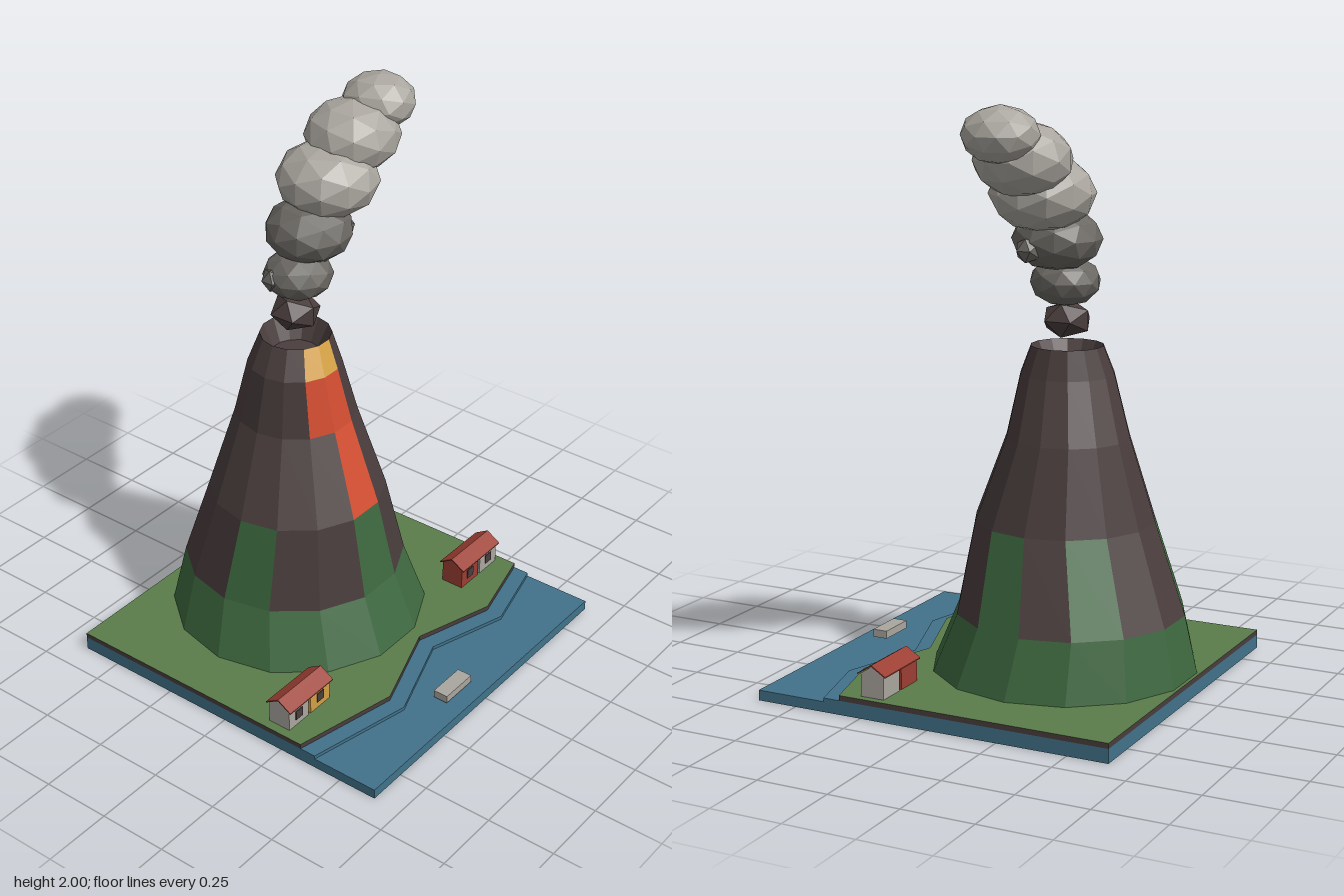
import * as THREE from 'three';

const mat = (name, color) => {
  const m = new THREE.MeshStandardMaterial({ color, flatShading: true });
  m.name = name;
  return m;
};

export function createModel() {
  const group = new THREE.Group();
  group.name = 'volcanoIsland';
  const land = mat('grass', 0x5a7d4a), forest = mat('forest', 0x3d683f), rock = mat('rock', 0x4a3d3d);
  const lava = mat('lava', 0xd24d31), glow = mat('glow', 0xd3a044), water = mat('water', 0x41728a);
  const pale = mat('paleGrey', 0xaaa69f), ash = mat('ashGrey', 0x6a6762), red = mat('tileRed', 0x9c3f33);
  water.side = THREE.DoubleSide;
  red.side = THREE.DoubleSide;

  const add = (name, geo, material, x = 0, y = 0, z = 0, parent = group) => {
    const mesh = new THREE.Mesh(geo, material);
    mesh.name = name;
    mesh.position.set(x, y, z);
    parent.add(mesh);
    return mesh;
  };

  // Sea: a shallow tray, open underneath
  const H = 0.645;
  const tray = new THREE.BoxGeometry(2 * H, 0.036, 2 * H);
  const idx = Array.from(tray.index.array);
  tray.setIndex([...idx.slice(0, 18), ...idx.slice(24)]);
  tray.clearGroups();
  add('sea', tray, water, 0, 0.018, 0);

  // Slabs with a zigzag shoreline
  const slab = (name, shift, y, height, materials) => {
    const shore = [[-H, 0.335], [-0.26, 0.422], [0.07, 0.308], [0.365, 0.4], [H, 0.33]];
    const pts = shore.map(([x, z]) => new THREE.Vector2(x, -z - shift));
    pts.push(new THREE.Vector2(H, H), new THREE.Vector2(-H, H));
    const geo = new THREE.ExtrudeGeometry(new THREE.Shape(pts), { depth: height, bevelEnabled: false });
    geo.rotateX(-Math.PI / 2);
    add(name, geo, materials, 0, y, 0);
  };
  slab('shallows', 0.06, 0.036, 0.013, water);
  slab('shore', 0, 0.049, 0.018, [land, rock]);

  // Mountain: rings of [height, radius, centre x, centre z], ending inside the crater
  const N = 14;
  const rings = [
    [0.065, 0.46, 0, -0.185], [0.27, 0.395, 0.008, -0.21], [0.58, 0.312, -0.012, -0.178],
    [0.87, 0.213, 0.01, -0.198], [1.08, 0.162, -0.01, -0.185], [1.18, 0.124, 0.003, -0.19],
    [1.1, 0.085, 0, -0.19], [1.1, 0.001, 0, -0.19],
  ];
  const point = (r, i) => {
    const [y, rad, cx, cz] = rings[r], a = (i % N) / N * Math.PI * 2;
    return [cx + rad * Math.cos(a), y, cz + rad * Math.sin(a)];
  };
  const colourOf = (band, i) => {
    if (band === 0 || (band === 1 && i % 3 === 0)) return forest;
    if ((band === 2 && i === 3) || (band === 3 && (i === 3 || i === 4))) return lava;
    if (band === 4 && (i === 3 || i === 4)) return glow;
    return rock;
  };
  const faces = new Map();
  for (let r = 0; r < rings.length - 1; r++) {
    for (let i = 0; i < N; i++) {
      const m = colourOf(r, i);
      if (!faces.has(m)) faces.set(m, []);
      const a = point(r, i), b = point(r + 1, i), c = point(r + 1, i + 1), d = point(r, i + 1);
      faces.get(m).push(...a, ...b, ...c, ...a, ...c, ...d);
    }
  }
  const names = new Map([[forest, 'mountainForest'], [rock, 'mountainRock'], [lava, 'lavaFlow'], [glow, 'lavaGlow']]);
  for (const [m, list] of faces) {
    const geo = new THREE.BufferGeometry();
    geo.setAttribute('position', new THREE.Float32BufferAttribute(list, 3));
    geo.computeVertexNormals();
    add(names.get(m), geo, m);
  }

  // Smoke column: x, y, z, radius, height radius, detail, colour
  const puffs = [
    [0, 1.265, -0.187, 0.09, 0.066, 0, rock],
    [0.02, 1.398, -0.19, 0.121, 0.086, 1, ash],
    [0.073, 1.545, -0.185, 0.152, 0.108, 1, ash],
    [0.163, 1.702, -0.175, 0.178, 0.128, 1, pale],
    [0.285, 1.82, -0.165, 0.165, 0.124, 1, pale],
    [0.405, 1.905, -0.147, 0.128, 0.095, 1, pale],
    [0.2, 1.517, -0.143, 0.046, 0.046, 0, ash],
    [-0.065, 1.4, -0.225, 0.045, 0.045, 0, ash],
  ];
  puffs.forEach(([x, y, z, r, h, detail, m], i) => {
    const geo = new THREE.IcosahedronGeometry(1, detail);
    if (detail) geo.rotateY(i * 0.7);
    geo.scale(r, h, r);
    add('smokePuff', geo, m, x, y, z);
  });

  // Paired cottages under one roof
  const wallShape = new THREE.Shape([[-0.043, 0], [0.043, 0], [0.043, 0.08], [0, 0.109], [-0.043, 0.08]]
    .map(([x, y]) => new THREE.Vector2(x, y)));
  const roofShape = new THREE.Shape([[-0.053, 0.077], [0, 0.109], [0.053, 0.077], [0.053, 0.081], [0, 0.114], [-0.053, 0.081]]
    .map(([x, y]) => new THREE.Vector2(x, y)));
  const alongX = (shape, length) => new THREE.ExtrudeGeometry(shape, { depth: length, bevelEnabled: false })
    .translate(0, 0, -length / 2).rotateY(Math.PI / 2);
  const cottages = (x, wallColours) => {
    const pair = new THREE.Group();
    pair.name = 'cottagePair';
    pair.position.set(x, 0.067, 0.218);
    wallColours.forEach((m, i) => {
      const cx = (i - 0.5) * 0.116;
      add('cottageWalls', alongX(wallShape, 0.104), m, cx, 0, 0, pair);
      add('window', new THREE.BoxGeometry(0.036, 0.036, 0.004), rock, cx, 0.042, 0.044, pair);
    });
    add('roof', alongX(roofShape, 0.232), red, 0, 0, 0, pair);
    group.add(pair);
  };
  cottages(-0.502, [pale, glow]);
  cottages(0.508, [red, pale]);

  // Boat
  add('boat', new THREE.BoxGeometry(0.145, 0.028, 0.055), pale, -0.077, 0.06, 0.556);

  return group;
}
